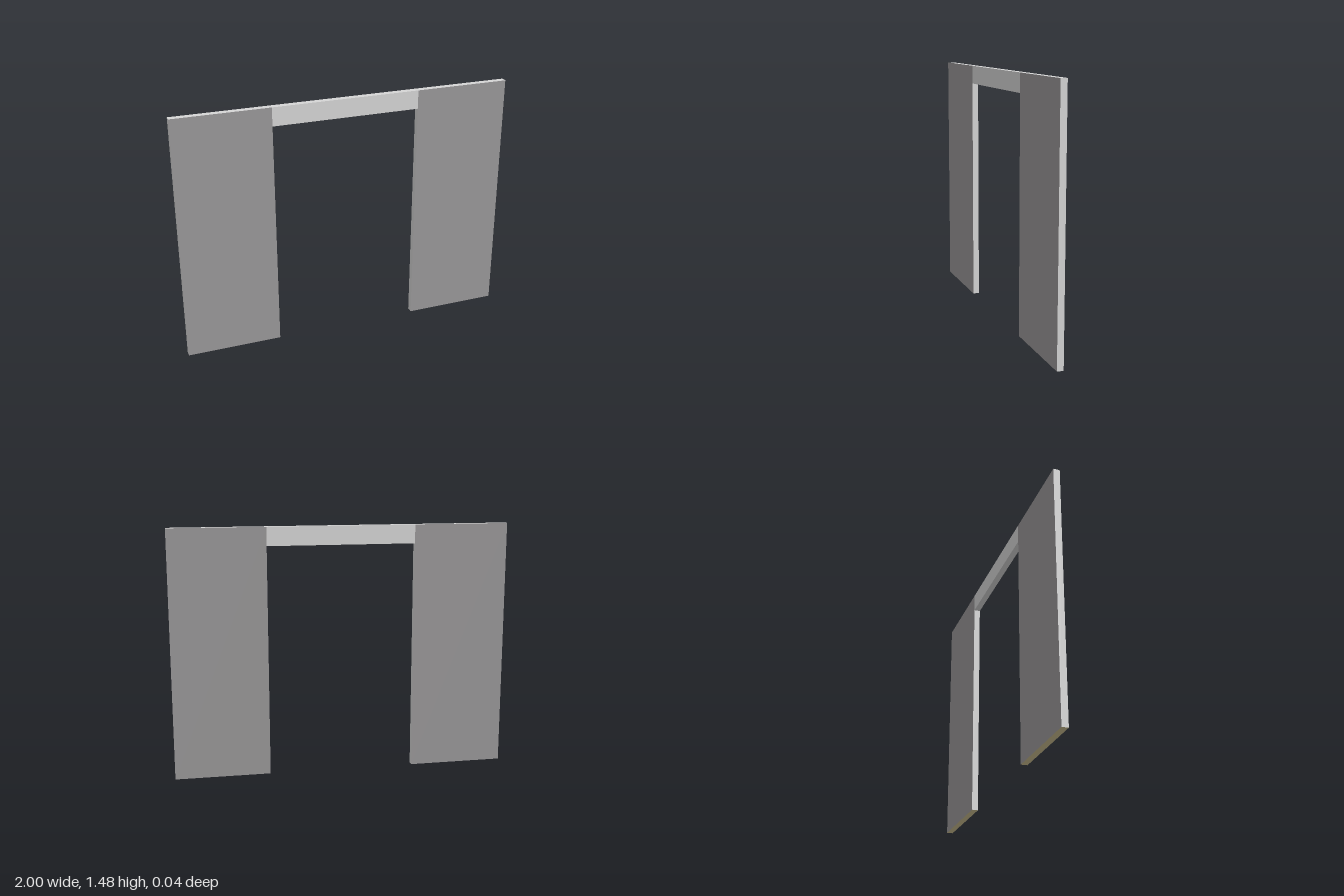
import * as THREE from 'three';

export function createModel() {
  const group = new THREE.Group();
  const paint = (name, color) => {
    const m = new THREE.MeshStandardMaterial({ color });
    m.name = name;
    return m;
  };
  const lightGrey = paint('lightGrey', 0xd6d6d6);
  const darkGrey = paint('darkGrey', 0x9a9899);
  const sand = paint('sand', 0xcfc193);

  const height = 1.475, depth = 0.037, opening = 0.436, lintelBottom = 1.365;

  // Box given by its x and y limits, centred on z = 0
  const slab = (name, x0, x1, y0, y1, material) => {
    const mesh = new THREE.Mesh(new THREE.BoxGeometry(x1 - x0, y1 - y0, depth), material);
    mesh.position.set((x0 + x1) / 2, (y0 + y1) / 2, 0);
    mesh.name = name;
    group.add(mesh);
  };

  // Wall panels: dark faces, light edges, sand underside
  const panelFaces = [lightGrey, lightGrey, lightGrey, sand, darkGrey, darkGrey];
  slab('leftWallPanel', opening, 1, 0, height, panelFaces);
  slab('rightWallPanel', -1, -opening, 0, height, panelFaces);

  // Lintel across the doorway, flush with the panels
  slab('lintel', -opening, opening, lintelBottom, height, lightGrey);

  return group;
}
